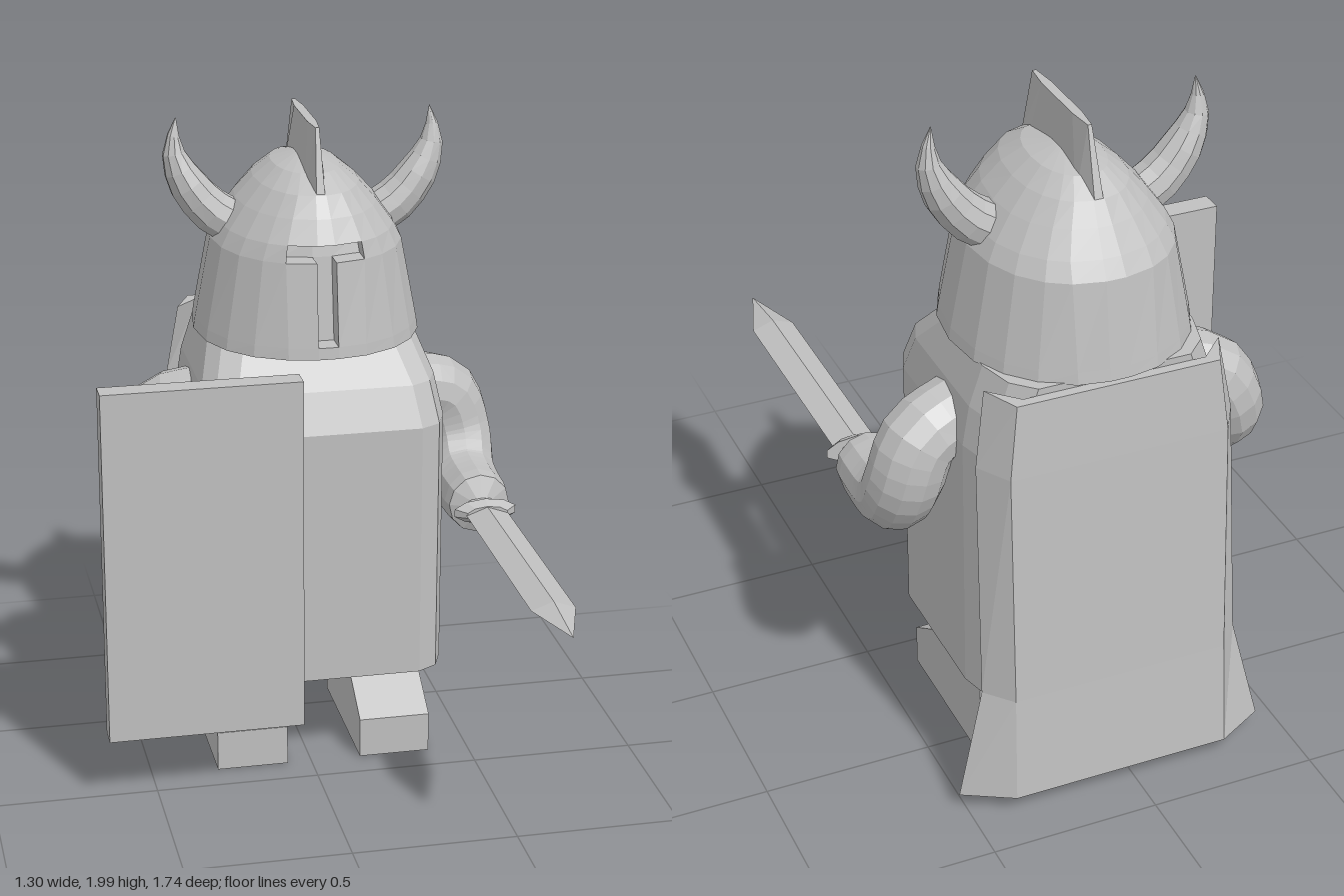
import * as THREE from 'three';

const steel = new THREE.MeshStandardMaterial({ color: 0xc0c0c0, flatShading: true });
const CX = 0.045; // middle of the body

function add(parent, name, geo, x = 0, y = 0, z = 0) {
  const m = new THREE.Mesh(geo, steel);
  m.name = name;
  m.position.set(x, y, z);
  parent.add(m);
  return m;
}

// Skin over rings of [x, y, z], each running front, left, back, right.
// Cells listed in holes ("row,column") are sunk backwards by depth.
function loft(rings, holes = new Set(), depth = 0) {
  const pos = [], n = rings[0].length;
  const tri = (a, b, c) => pos.push(...a, ...b, ...c);
  const quad = (a, b, c, d) => { tri(a, b, c); tri(a, c, d); };
  const sink = (p) => [p[0], p[1], p[2] - depth];
  for (let i = 0; i < rings.length - 1; i++) {
    for (let j = 0; j < n; j++) {
      const k = (j + 1) % n, h = (j + n - 1) % n;
      const c = [rings[i][j], rings[i][k], rings[i + 1][k], rings[i + 1][j]];
      if (!holes.has(`${i},${j}`)) { quad(...c); continue; }
      const s = c.map(sink);
      quad(...s);
      const next = [`${i - 1},${j}`, `${i},${k}`, `${i + 1},${j}`, `${i},${h}`];
      next.forEach((key, e) => {
        const f = (e + 1) % 4;
        if (!holes.has(key)) quad(c[e], c[f], s[f], s[e]);
      });
    }
  }
  const cap = (r, up) => {
    const flat = r.map((p) => new THREE.Vector2(p[0], -p[2]));
    for (const [a, b, c] of THREE.ShapeUtils.triangulateShape(flat, [])) {
      if (up) tri(r[a], r[b], r[c]); else tri(r[a], r[c], r[b]);
    }
  };
  cap(rings[0], false);
  cap(rings[rings.length - 1], true);
  const g = new THREE.BufferGeometry();
  g.setAttribute('position', new THREE.Float32BufferAttribute(pos, 3));
  g.computeVertexNormals();
  return g;
}

// Tube through points of [x, y, z, radius], closed by a last tiny radius
function limb(points, segments, sides) {
  const curve = new THREE.CatmullRomCurve3(points.map((p) => new THREE.Vector3(p[0], p[1], p[2])));
  const g = new THREE.TubeGeometry(curve, segments, 1, sides);
  const p = g.attributes.position, v = new THREE.Vector3();
  const lengths = curve.getLengths((points.length - 1) * 20);
  const total = lengths[lengths.length - 1];
  const stops = points.map((_, i) => lengths[i * 20] / total);
  for (let i = 0; i <= segments; i++) {
    const u = i / segments, c = curve.getPointAt(u);
    let k = 0;
    while (k < points.length - 2 && u > stops[k + 1]) k++;
    const f = (u - stops[k]) / (stops[k + 1] - stops[k]);
    const r = THREE.MathUtils.lerp(points[k][3], points[k + 1][3], Math.min(1, f));
    for (let j = 0; j <= sides; j++) {
      const id = i * (sides + 1) + j;
      v.fromBufferAttribute(p, id).sub(c).multiplyScalar(r).add(c);
      p.setXYZ(id, v.x, v.y, v.z);
    }
  }
  g.computeVertexNormals();
  return g;
}

// Box-like ring with two-step bevelled corners
function bodyRing([y, hx, zf, zb]) {
  const right = [[hx - 0.09, zf], [hx - 0.03, zf - 0.035], [hx, zf - 0.11],
    [hx, zb + 0.17], [hx - 0.03, zb + 0.06], [hx - 0.09, zb]];
  const left = right.map(([x, z]) => [-x, z]).reverse();
  return [...right, ...left].map(([x, z]) => [CX + x, y, z]);
}

// Rounded ring with front columns that line up with the visor slot
function helmetRing([y, hw, zf, zb]) {
  const zc = -0.43, e = 0.92;
  const steps = [Math.min(0.03, hw * 0.1), Math.min(0.117, hw * 0.42), hw * 0.62, hw * 0.82, hw * 0.95];
  const at = (x, end) => [x, zc + (end - zc) * Math.pow(1 - Math.pow(x / hw, 2 / e), e / 2)];
  const right = [...steps.map((x) => at(x, zf)), [hw, zc], ...steps.map((x) => at(x, zb)).reverse()];
  const left = right.map(([x, z]) => [-x, z]).reverse();
  return [...right, ...left].map(([x, z]) => [CX + x, y, z]);
}

// Cape section: flat back with wings folding forward
function capeRing([y, wing, flat, zf, zb]) {
  return [[-wing, zf], [-flat + 0.03, zb + 0.03], [flat - 0.03, zb + 0.03], [wing, zf],
    [flat, zb], [-flat, zb]].map(([x, z]) => [CX + x, y, z]);
}

export function createModel() {
  const g = new THREE.Group();
  g.name = 'knight';

  add(g, 'body', loft([
    [0.3, 0.375, -0.05, -0.77], [1.1, 0.375, -0.05, -0.77],
    [1.22, 0.355, -0.1, -0.77], [1.34, 0.315, -0.22, -0.77],
  ].map(bodyRing)));

  // Helmet with a T-shaped visor slot
  const rows = [
    [1.335, 0.342, -0.055, -0.805], [1.37, 0.337, -0.058, -0.8], [1.62, 0.288, -0.085, -0.765],
    [1.67, 0.262, -0.095, -0.735], [1.74, 0.21, -0.13, -0.69], [1.8, 0.155, -0.17, -0.65],
    [1.845, 0.1, -0.25, -0.59], [1.87, 0.03, -0.38, -0.48],
  ].map(helmetRing);
  const n = rows[0].length;
  add(g, 'helmet', loft(rows, new Set([`1,${n - 1}`, `2,${n - 2}`, `2,${n - 1}`, '2,0']), 0.07));

  // Crest tapering upward
  add(g, 'crest', loft([[1.78, 0.034, -0.17, -0.655], [1.99, 0.014, -0.225, -0.585]].map(
    ([y, w, zf, zb]) => [[-w * 0.4, zf], [w * 0.4, zf], [w, zf - 0.08], [w, zb + 0.08],
      [w * 0.4, zb], [-w * 0.4, zb], [-w, zb + 0.08], [-w, zf - 0.08]].map(([x, z]) => [CX + x, y, z]))));

  // Horns
  for (const [name, s] of [['leftHorn', 1], ['rightHorn', -1]]) {
    const path = [[0.19, 1.645, 0.07], [0.29, 1.71, 0.068], [0.36, 1.8, 0.058],
      [0.394, 1.89, 0.033], [0.385, 1.99, 0.001]];
    add(g, name, limb(path.map(([x, y, r]) => [CX + s * x, y, -0.43, r]), 8, 10));
  }

  // Arms, the left one ending in a fist round the sword grip
  add(g, 'leftArm', limb([[0.36, 1.105, -0.43, 0.11], [0.49, 1.06, -0.46, 0.112], [0.535, 0.93, -0.45, 0.112],
    [0.535, 0.825, -0.36, 0.105], [0.535, 0.805, -0.15, 0.098], [0.535, 0.805, -0.12, 0.07],
    [0.535, 0.805, -0.108, 0.001]], 18, 12));
  add(g, 'rightArm', limb([[-0.27, 1.105, -0.43, 0.11], [-0.4, 1.06, -0.46, 0.112], [-0.465, 0.93, -0.45, 0.112],
    [-0.47, 0.83, -0.36, 0.1], [-0.47, 0.8, 0, 0.076]], 16, 12));

  // Sword pointing forward
  const sword = new THREE.Group();
  sword.name = 'sword';
  sword.position.set(0.535, 0.808, 0);
  g.add(sword);
  const along = (rTop, rBottom, length, sides, flat) =>
    new THREE.CylinderGeometry(rTop, rBottom, length, sides).scale(1, 1, flat).rotateX(Math.PI / 2);
  add(sword, 'grip', along(0.05, 0.05, 0.07, 10, 0.5), 0, 0, -0.095);
  add(sword, 'guard', along(0.065, 0.1, 0.03, 10, 0.4), 0, 0, -0.06);
  add(sword, 'blade', along(0.065, 0.065, 0.72, 4, 0.37), 0, 0, 0.31);
  add(sword, 'bladeTip', along(0.0005, 0.065, 0.195, 4, 0.37), 0, 0, 0.7675);

  add(g, 'shield', new THREE.BoxGeometry(0.595, 1.105, 0.07), -0.352, 0.762, 0.028);

  // Legs with blocky feet
  const profile = [[-0.6, 0], [-0.1, 0], [-0.1, 0.125], [-0.235, 0.21], [-0.235, 0.32], [-0.6, 0.32]];
  const legShape = new THREE.Shape(profile.map(([z, y]) => new THREE.Vector2(z, y)));
  for (const [name, x] of [['leftLeg', 0.375], ['rightLeg', -0.075]]) {
    const geo = new THREE.ExtrudeGeometry(legShape, { depth: 0.22, bevelEnabled: false });
    add(g, name, geo.rotateY(-Math.PI / 2), x);
  }

  add(g, 'cape', loft([
    [0.05, 0.475, 0.33, -0.79, -0.87], [0.38, 0.395, 0.325, -0.77, -0.85],
    [1.1, 0.385, 0.325, -0.715, -0.815], [1.32, 0.35, 0.3, -0.69, -0.8],
  ].map(capeRing)));

  return g;
}
